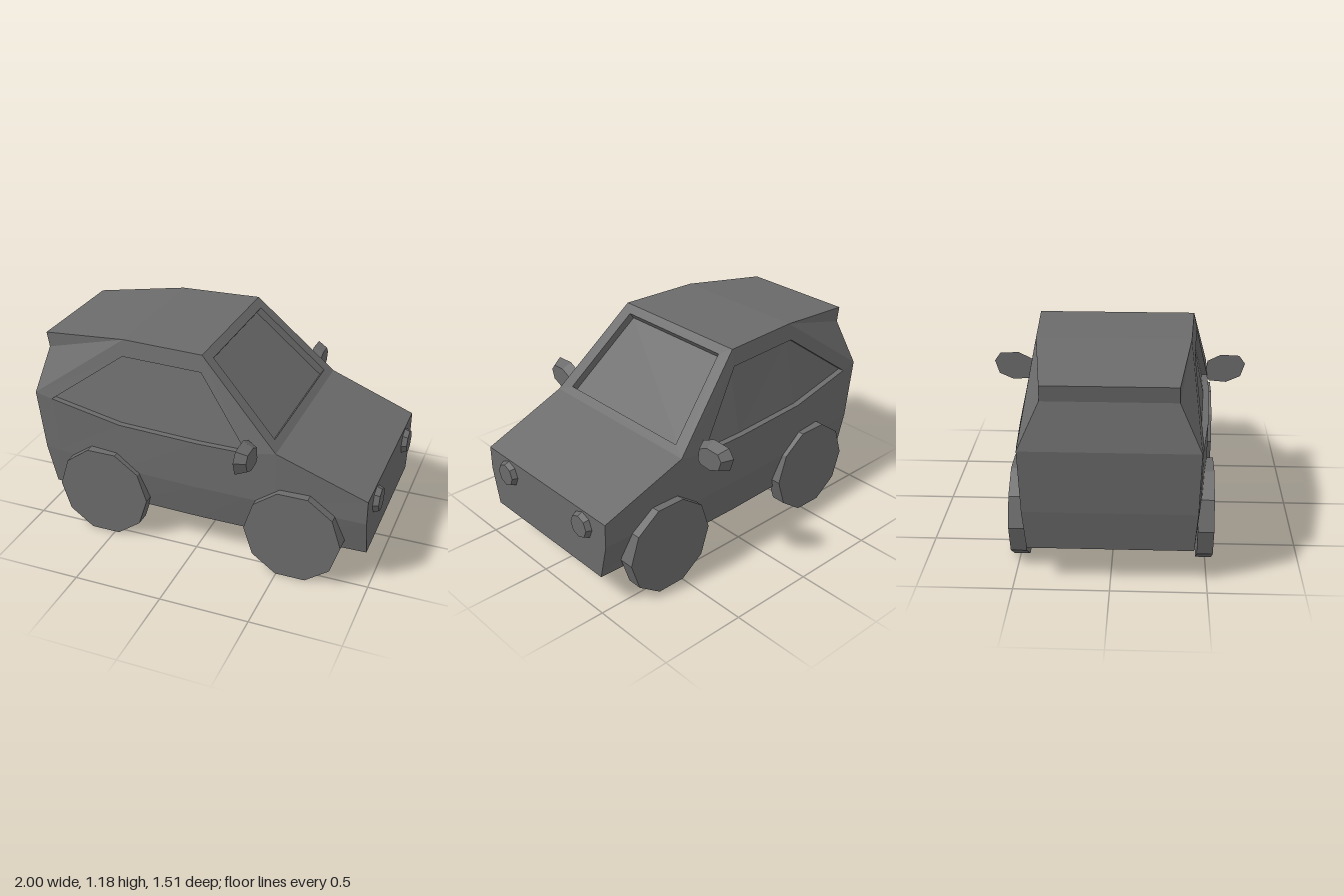
import * as THREE from 'three';

const material = new THREE.MeshStandardMaterial({ color: 0x6b6b6b, flatShading: true });

// Mirror a point, or a whole polygon (reversed so it still faces outward)
const flip = ([x, y, z]) => [x, y, -z];
const flipFace = (face) => face.map(flip).reverse();
const shift = ([x, y, z], dx, dy, dz) => [x + dx, y + dy, z + dz];
// Panel across the full width, between two points on the left flank
const span = (a, b) => [a, b, flip(b), flip(a)];
const both = (faces) => [...faces, ...faces.map(flipFace)];

function polyMesh(name, faces) {
  const pos = [];
  for (const f of faces)
    for (let i = 1; i < f.length - 1; i++) pos.push(...f[0], ...f[i], ...f[i + 1]);
  const geo = new THREE.BufferGeometry();
  geo.setAttribute('position', new THREE.Float32BufferAttribute(pos, 3));
  geo.computeVertexNormals();
  const mesh = new THREE.Mesh(geo, material);
  mesh.name = name;
  return mesh;
}

export function createModel() {
  const car = new THREE.Group();
  car.name = 'car';

  // Left flank from rear to front: floor, waist and belt rows
  const floor = [[-0.92, 0.198, 0.43], [-0.84, 0.198, 0.437], [-0.45, 0.198, 0.465], [0.02, 0.198, 0.48],
    [0.3, 0.198, 0.48], [0.47, 0.198, 0.48], [0.97, 0.198, 0.465]];
  const waist = [[-0.965, 0.43, 0.445], [-0.87, 0.43, 0.458], [-0.45, 0.42, 0.503], [0.02, 0.42, 0.525],
    [0.3, 0.42, 0.527], [0.47, 0.42, 0.527], [0.97, 0.41, 0.515]];
  const belt = [[-1, 0.78, 0.453], [-0.89, 0.763, 0.465], [-0.45, 0.703, 0.505], [0.02, 0.7, 0.53],
    [0.31, 0.7, 0.53], [0.47, 0.733, 0.53], [0.97, 0.545, 0.515]];

  // Roof, spoiler and window corners
  const roofRear = [-0.45, 1.177, 0.405], roofFront = [0.02, 1.177, 0.43];
  const spoiler = [-0.965, 1.11, 0.338], tailTop = [-0.95, 1.025, 0.34];
  const winRear = [-0.45, 1.085, 0.424], winFront = [0.02, 1.085, 0.449];
  const screenTop = [0.058, 1.14, 0.365], screenLow = [0.435, 0.768, 0.445];
  const cowl = belt[5], tail = belt[0];

  const side = [
    [belt[4], cowl, roofFront, winFront],       // front pillar
    [winFront, roofFront, roofRear, winRear],   // roof rail
    [winRear, roofRear, tail, belt[1]],         // rear pillar
    [roofRear, tailTop, tail],
    [roofRear, spoiler, tailTop],               // spoiler cheek
    [roofFront, cowl, screenLow, screenTop],    // windscreen frame side
  ];
  const across = [
    span(floor[0], waist[0]), span(waist[0], tail), span(tail, tailTop), span(tailTop, spoiler),
    span(spoiler, roofRear), span(roofRear, roofFront),
    span(roofFront, screenTop), span(screenLow, cowl),
    span(cowl, belt[6]), span(belt[6], waist[6]), span(waist[6], floor[6]),
  ];
  for (let i = 0; i < 6; i++) {
    side.push([floor[i], floor[i + 1], waist[i + 1], waist[i]]);
    side.push([waist[i], waist[i + 1], belt[i + 1], belt[i]]);
    across.push(span(floor[i + 1], floor[i]));
  }
  car.add(polyMesh('body', [...both(side), ...across]));

  // Recessed windscreen
  const paneTop = shift(screenTop, -0.025, -0.034, 0), paneLow = shift(screenLow, -0.025, -0.034, 0);
  car.add(polyMesh('windscreen', [
    span(screenTop, paneTop), span(paneTop, paneLow), span(paneLow, screenLow),
    ...both([[screenTop, screenLow, paneLow, paneTop]]),
  ]));

  // Recessed side windows
  const rim = [belt[1], belt[2], belt[3], belt[4], winFront, winRear];
  const p = rim.map((v) => shift(v, 0, 0, -0.035));
  const glass = [[p[0], p[1], p[5]], [p[1], p[2], p[4], p[5]], [p[2], p[3], p[4]]];
  rim.forEach((v, i) => {
    const j = (i + 1) % rim.length;
    glass.push([v, rim[j], p[j], p[i]]);
  });
  car.add(polyMesh('leftWindow', glass), polyMesh('rightWindow', glass.map(flipFace)));

  // Door mirrors: flat back, smaller front face
  const outline = [[0.756, 0.77], [0.72, 0.82], [0.61, 0.825], [0.53, 0.785],
    [0.52, 0.69], [0.545, 0.66], [0.645, 0.652], [0.73, 0.69]];
  const back = outline.map(([z, y]) => [0.318, y, z]);
  const front = outline.map(([z, y]) => [0.377, 0.735 + (y - 0.735) * 0.7, 0.638 + (z - 0.638) * 0.72]);
  const shell = [[...back].reverse(), front];
  back.forEach((v, i) => {
    const j = (i + 1) % 8;
    shell.push([v, back[j], front[j], front[i]]);
  });
  const leftShell = orient(shell, [0.345, 0.735, 0.638]);
  car.add(polyMesh('leftMirror', leftShell), polyMesh('rightMirror', leftShell.map(flipFace)));

  // Ten-sided wheels (wider track in front) and eight-sided headlights
  for (const s of [1, -1]) {
    for (const [name, x, inner, outer] of [['front', 0.58, 0.484, 0.569], ['rear', -0.56, 0.45, 0.535]]) {
      const geo = new THREE.CylinderGeometry(0.272, 0.272, outer - inner, 10);
      geo.rotateY(Math.PI / 2).rotateX(Math.PI / 2);
      const wheel = new THREE.Mesh(geo, material);
      wheel.position.set(x, 0.2587, s * (inner + outer) / 2);
      wheel.name = name + 'Wheel';
      car.add(wheel);
    }
    const lamp = new THREE.Mesh(new THREE.CylinderGeometry(0.064, 0.08, 0.04, 8), material);
    lamp.rotation.z = -Math.PI / 2;
    lamp.position.set(0.98, 0.459, s * 0.33);
    lamp.name = 'headlight';
    car.add(lamp);
  }
  return car;
}

// Turn each face of a convex shell away from its centre
function orient(faces, centre) {
  const c = new THREE.Vector3(...centre);
  return faces.map((f) => {
    const [a, b, d] = f.slice(0, 3).map((v) => new THREE.Vector3(...v));
    const n = b.clone().sub(a).cross(d.clone().sub(a));
    return n.dot(a.sub(c)) < 0 ? [...f].reverse() : f;
  });
}
